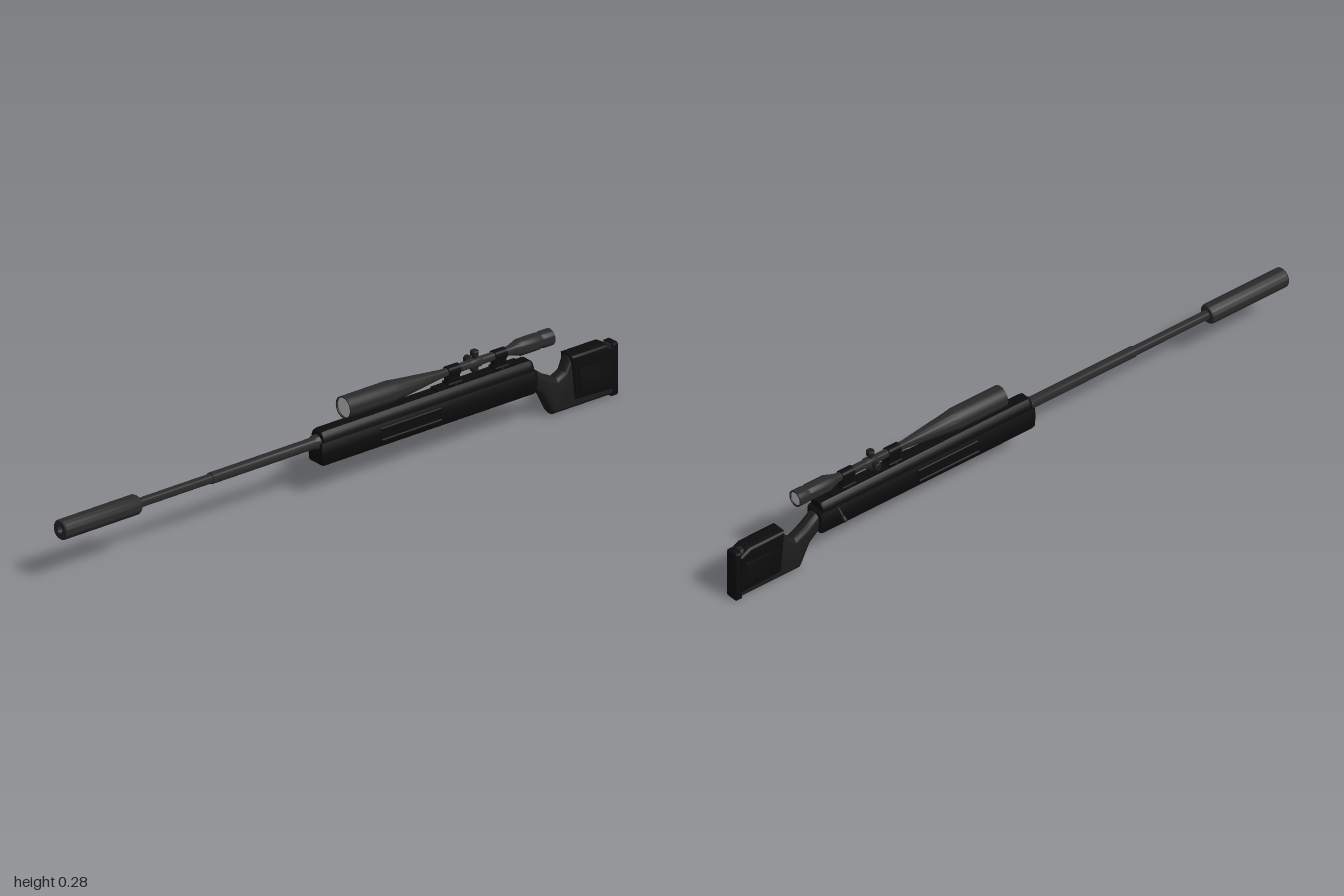
import * as THREE from 'three';
import { toCreasedNormals } from 'three/addons/utils/BufferGeometryUtils.js';
import { RoundedBoxGeometry } from 'three/addons/geometries/RoundedBoxGeometry.js';

const CX = 0.013; // centre line of the rifle
const mat = (color) => new THREE.MeshStandardMaterial({ color, side: THREE.DoubleSide });
const black = mat(0x0c0c0c), dark = mat(0x1c1c1c), steel = mat(0x2a2a2a), glass = mat(0xcccccc);

export function createModel() {
  const model = new THREE.Group();
  const add = (name, geo, material, x = 0, y = 0, z = 0) => {
    const mesh = new THREE.Mesh(geo, material);
    mesh.name = name;
    mesh.position.set(CX + x, y, z);
    model.add(mesh);
    return mesh;
  };
  // Turned part along z from [radius, z] pairs
  const turned = (name, profile, y, material, segments = 32) => {
    const geo = new THREE.LatheGeometry(profile.map(([r, z]) => new THREE.Vector2(r, z)), segments);
    geo.rotateX(Math.PI / 2);
    return add(name, toCreasedNormals(geo, 0.6), material, 0, y);
  };
  const shapeOf = (points) => new THREE.Shape(points.map(([a, b]) => new THREE.Vector2(a, b)));
  // Side outline [z, y] given a rounded thickness in x
  const sidePlate = (name, points, width, bevel, material, segments = 5) => {
    const geo = new THREE.ExtrudeGeometry(shapeOf(points), {
      depth: width - 2 * bevel, bevelThickness: bevel, bevelSize: bevel, bevelOffset: -bevel, bevelSegments: segments,
    });
    geo.translate(0, 0, -(width - 2 * bevel) / 2);
    geo.rotateY(-Math.PI / 2);
    return add(name, toCreasedNormals(geo, 0.6), material);
  };
  // Front outline of half widths [x, y], mirrored and run from z0 to z1
  const lengthwise = (name, half, z0, z1, bevel, material) => {
    const mirrored = half.map(([x, y]) => [-x, y]).reverse();
    const geo = new THREE.ExtrudeGeometry(shapeOf([...half, ...mirrored]), {
      depth: z1 - z0 - 2 * bevel, bevelThickness: bevel, bevelSize: bevel * 0.6, bevelOffset: -bevel * 0.6, bevelSegments: 3,
    });
    geo.translate(0, 0, z0 + bevel);
    return add(name, toCreasedNormals(geo, 0.6), material);
  };

  // Suppressor and stepped barrel
  turned('suppressor', [[0.011, 0.9], [0.011, 1], [0.027, 1], [0.03, 0.996], [0.03, 0.73], [0.027, 0.724], [0.012, 0.724]], 0.162, steel);
  turned('suppressorBore', [[0, 0.9], [0.011, 0.9]], 0.162, black);
  turned('barrel', [[0.014, 0.73], [0.014, 0.457], [0.017, 0.457], [0.017, 0.09], [0.022, 0.08], [0.022, 0.05]], 0.162, steel);

  // Fore-end and receiver
  lengthwise('foreEnd', [[0.027, 0.096], [0.033, 0.104], [0.035, 0.135], [0.033, 0.164], [0.031, 0.168]], -0.7, 0.08, 0.014, black);
  lengthwise('receiver', [[0.031, 0.166], [0.03, 0.178], [0.025, 0.19], [0.017, 0.197]], -0.69, 0.072, 0.012, black);
  add('scopeRail', new THREE.BoxGeometry(0.03, 0.008, 0.3), black, 0, 0.199, -0.5);
  for (const s of [-1, 1]) {
    add('sidePanel', new RoundedBoxGeometry(0.012, 0.05, 0.22, 2, 0.004), black, s * 0.031, 0.132, -0.24);
    add('sideRail', new RoundedBoxGeometry(0.01, 0.012, 0.22, 2, 0.004), black, s * 0.0365, 0.118, -0.24);
  }

  // Bolt handle with its knob on the right side
  const boltPath = new THREE.CatmullRomCurve3([[-0.02, 0.166], [-0.034, 0.162], [-0.046, 0.153], [-0.056, 0.145]]
    .map(([x, y]) => new THREE.Vector3(x, y, -0.638)));
  add('boltHandle', new THREE.TubeGeometry(boltPath, 12, 0.0035, 8), dark);
  const knob = add('boltKnob', new THREE.CapsuleGeometry(0.006, 0.01, 4, 12), dark, -0.06, 0.142, -0.638);
  knob.rotation.z = -0.9;

  // Grip and buttstock in one outline
  sidePlate('stock', [
    [-0.68, 0.165], [-0.705, 0.16], [-0.74, 0.133], [-0.78, 0.112], [-0.805, 0.125], [-0.822, 0.165],
    [-0.95, 0.166], [-0.985, 0.16], [-0.985, 0.003], [-0.765, 0.003], [-0.755, 0.015], [-0.725, 0.075], [-0.69, 0.104],
  ], 0.046, 0.018, dark);
  sidePlate('buttPad', [[-0.975, 0.163], [-0.996, 0.163], [-1, 0.155], [-1, 0.006], [-0.996, 0], [-0.975, 0]], 0.046, 0.008, black, 3);

  // Stock sleeve with a stitched pocket on each side
  sidePlate('stockSleeve', [[-0.825, 0.169], [-0.952, 0.169], [-0.985, 0.15], [-0.982, 0.026], [-0.838, 0.032]], 0.056, 0.008, black, 3);
  for (const s of [-1, 1]) {
    const pocket = sidePlate('sidePocket', [[-0.85, 0.125], [-0.97, 0.125], [-0.968, 0.034], [-0.856, 0.038]], 0.005, 0.002, black, 2);
    pocket.position.x = CX + s * 0.029;
  }

  // Telescopic sight
  const sightY = 0.24;
  turned('sightBody', [
    [0.03, -0.034], [0.03, -0.022], [0.033, -0.022], [0.033, -0.19], [0.03, -0.21], [0.0135, -0.365], [0.0125, -0.375],
    [0.0125, -0.61], [0.017, -0.63], [0.025, -0.655], [0.025, -0.72], [0.0235, -0.723], [0.0235, -0.732], [0.025, -0.735],
    [0.025, -0.768], [0.021, -0.768], [0.021, -0.76],
  ], sightY, steel);
  turned('frontLens', [[0, -0.028], [0.031, -0.028]], sightY, glass);
  turned('rearLens', [[0, -0.764], [0.0215, -0.764]], sightY, glass);

  // Sight mounts: foot, post and clamping ring
  for (const z of [-0.415, -0.583]) {
    add('mountFoot', new RoundedBoxGeometry(0.034, 0.012, 0.05, 2, 0.003), black, 0, 0.203, z);
    add('mountPost', new THREE.BoxGeometry(0.02, 0.03, 0.042), black, 0, 0.218, z);
    turned('mountRing', [[0.0125, z - 0.021], [0.0165, z - 0.021], [0.0165, z + 0.021], [0.0125, z + 0.021]], sightY, black, 24);
    for (const s of [-1, 1]) {
      const screw = add('mountScrew', new THREE.CylinderGeometry(0.004, 0.004, 0.004, 8), dark, s * 0.0175, 0.204, z);
      screw.rotation.z = Math.PI / 2;
    }
  }

  // Adjustment turrets above and to the right, with a cap below
  turned('turretHousing', [[0.0125, -0.518], [0.0155, -0.512], [0.0155, -0.48], [0.0125, -0.474]], sightY, steel);
  const turret = new THREE.LatheGeometry([[0.007, 0.01], [0.007, 0.024], [0.012, 0.024], [0.012, 0.036], [0.0105, 0.038], [0, 0.038]]
    .map(([r, y]) => new THREE.Vector2(r, y)), 20);
  for (const [name, angle, scale] of [['elevationTurret', 0, 1], ['windageTurret', Math.PI / 2, 1], ['lowerTurretCap', Math.PI, 0.65]]) {
    const mesh = add(name, toCreasedNormals(turret.clone(), 0.6), dark, 0, sightY, -0.495);
    mesh.rotation.z = angle;
    mesh.scale.y = scale;
  }
  return model;
}
